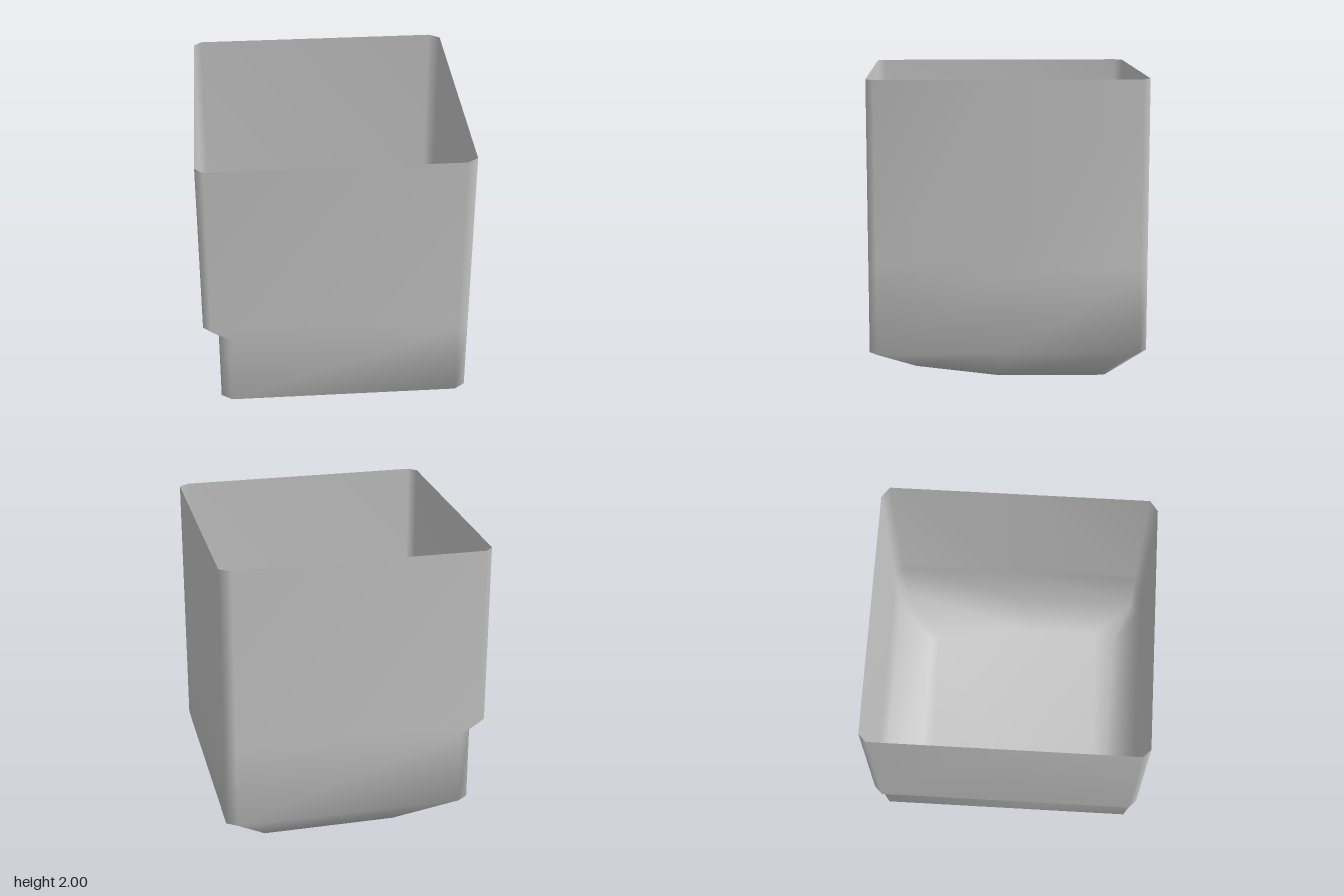
import * as THREE from 'three';

// Ten-point ring: a rectangle with cut corners and a midpoint on each side
function ring(y, left, chamfer) {
  const cx = chamfer, cz = 0.05, r = 0.87, f = 0.9;
  return [
    [left + cx, y, f], [r - 0.07, y, f], [r, y, f - cz], [r, y, 0], [r, y, -f + cz],
    [r - 0.07, y, -f], [left + cx, y, -f], [left, y, -f + cz], [left, y, 0], [left, y, f - cz],
  ];
}

// Floor rim: sloping down from front to back
const floorRim = [
  [-0.55, 0.13, 0.71], [0.6, 0.12, 0.73], [0.68, 0.1, 0.6], [0.7, 0.04, 0.08], [0.62, 0.01, -0.6],
  [0.58, 0, -0.65], [-0.31, 0.01, -0.66], [-0.58, 0.02, -0.57], [-0.6, 0.02, 0.1], [-0.56, 0.1, 0.62],
];

export function createModel() {
  // Rings from the floor up to the open rim, with the ledge on the -x side
  const rings = [
    floorRim,
    ring(0.23, -0.77, 0.07),
    ring(0.73, -0.77, 0.07),
    ring(0.8, -0.87, 0.05),
    ring(2, -0.87, 0.05),
  ];
  const n = floorRim.length;
  const index = [];

  // Walls
  for (let k = 0; k < rings.length - 1; k++) {
    for (let i = 0; i < n; i++) {
      const a = k * n + i, b = k * n + (i + 1) % n;
      index.push(a, b, b + n, a, b + n, a + n);
    }
  }

  // Floor, in strips from front to back
  const rows = [[0, 1], [9, 2], [8, 3], [7, 4], [6, 5]];
  for (let i = 0; i < rows.length - 1; i++) {
    const [l, r] = rows[i], [l2, r2] = rows[i + 1];
    index.push(l, l2, r2, l, r2, r);
  }

  const geometry = new THREE.BufferGeometry();
  geometry.setAttribute('position', new THREE.Float32BufferAttribute(rings.flat(2), 3));
  geometry.setIndex(index);
  geometry.computeVertexNormals();

  const tub = new THREE.Mesh(geometry, new THREE.MeshStandardMaterial({ color: 0xcccccc, side: THREE.DoubleSide }));
  tub.name = 'openTub';
  const group = new THREE.Group();
  group.name = 'container';
  group.add(tub);
  return group;
}
